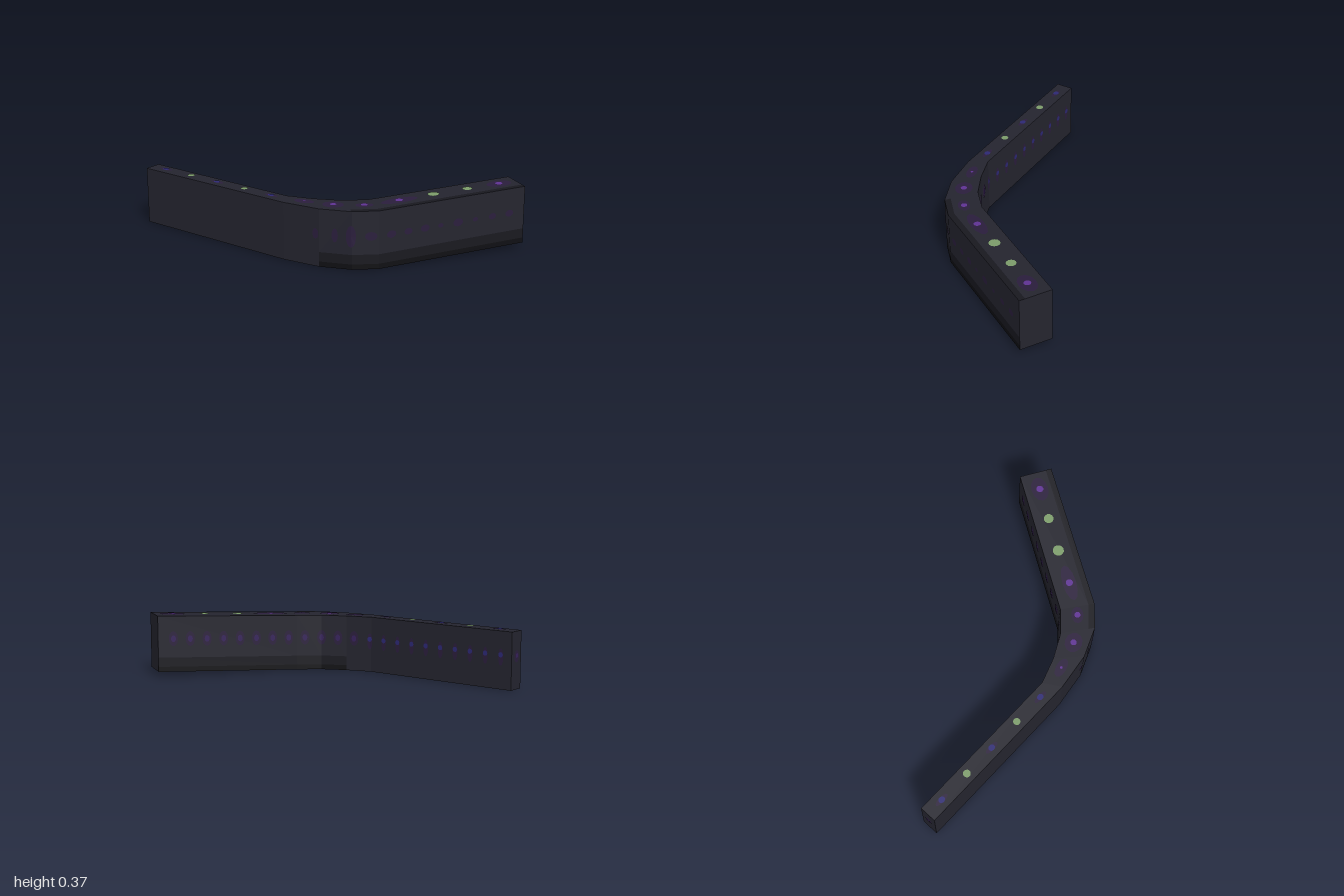
import * as THREE from 'three';

// Plan outline [x, z], from the back end to the front end
const OUTER = [[-0.53, -1], [-0.53, 0.04], [-0.5, 0.26], [-0.43, 0.43], [-0.33, 0.54], [0.42, 1]];
const INNER = [[-0.43, -1], [-0.43, -0.02], [-0.38, 0.13], [-0.31, 0.27], [-0.21, 0.38], [0.52, 0.835]];
const HEIGHT = 0.333;
const RISE = 0.034;

// The front arm climbs gently along its length
const rise = (x, z) => RISE * THREE.MathUtils.clamp(((x + 0.27) * 0.854 + (z - 0.46) * 0.52) / 0.866, 0, 1);

function paint(name, color, decal) {
  const m = new THREE.MeshStandardMaterial({ color });
  m.name = name;
  if (decal) m.side = THREE.DoubleSide;
  return m;
}

// Point and outward normal on a wall at distance s from the back end
function along(path, s, side) {
  for (let i = 0; i < path.length - 1; i++) {
    const [x0, z0] = path[i], [x1, z1] = path[i + 1];
    const len = Math.hypot(x1 - x0, z1 - z0);
    if (s <= len || i === path.length - 2) {
      const dx = (x1 - x0) / len, dz = (z1 - z0) / len;
      return { x: x0 + dx * s, z: z0 + dz * s, nx: dz * side, nz: -dx * side };
    }
    s -= len;
  }
}

// Thin oval patch: place(cos, sin) maps a unit disc onto a surface
function oval(name, material, place, sides = 12) {
  const pos = [];
  for (let i = 0; i < sides; i++) {
    const a = (i / sides) * Math.PI * 2, b = ((i + 1) / sides) * Math.PI * 2;
    pos.push(...place(0, 0), ...place(Math.cos(a), Math.sin(a)), ...place(Math.cos(b), Math.sin(b)));
  }
  const g = new THREE.BufferGeometry();
  g.setAttribute('position', new THREE.Float32BufferAttribute(pos, 3));
  g.computeVertexNormals();
  const mesh = new THREE.Mesh(g, material);
  mesh.name = name;
  return mesh;
}

export function createModel() {
  const model = new THREE.Group();
  model.name = 'bentWall';
  const mat = {
    body: paint('charcoal', 0x24242e),
    shade: paint('dark charcoal', 0x18181f),
    base: paint('near black', 0x0e0e12),
    halo: paint('dim violet', 0x2a1d3c, true),
    blue: paint('deep blue', 0x2c2874, true),
    plum: paint('plum', 0x35205a, true),
    purple: paint('bright purple', 0x5f3294, true),
    green: paint('sage green', 0x7c9c6a, true),
  };

  // Body panels, gathered by colour
  const panels = { body: [], shade: [], base: [] };
  const quad = (key, a, b, c, d) => panels[key].push(...a, ...b, ...c, ...a, ...c, ...d);
  const pt = (k, u, y) => {
    const x = THREE.MathUtils.lerp(OUTER[k][0], INNER[k][0], u);
    const z = THREE.MathUtils.lerp(OUTER[k][1], INNER[k][1], u);
    return [x, y + (k === 5 ? RISE : 0), z];
  };
  const last = OUTER.length - 1;
  for (let k = 0; k < last; k++) {
    const bands = k < 2 ? [['body', 0, HEIGHT]]
      : [['base', 0, 0.03], ['shade', 0.03, 0.085], ['body', 0.085, HEIGHT]];
    for (const [key, y0, y1] of bands) {
      quad(key, pt(k, 0, y0), pt(k + 1, 0, y0), pt(k + 1, 0, y1), pt(k, 0, y1));
      quad(key, pt(k, 1, y0), pt(k, 1, y1), pt(k + 1, 1, y1), pt(k + 1, 1, y0));
    }
    const strips = k < 3 ? [['body', 0, 1]] : [['shade', 0, 0.18], ['body', 0.18, 1]];
    for (const [key, u0, u1] of strips) {
      quad(key, pt(k, u0, HEIGHT), pt(k + 1, u0, HEIGHT), pt(k + 1, u1, HEIGHT), pt(k, u1, HEIGHT));
    }
    quad('body', pt(k, 0, 0), pt(k, 1, 0), pt(k + 1, 1, 0), pt(k + 1, 0, 0));
  }
  quad('body', pt(0, 0, 0), pt(0, 0, HEIGHT), pt(0, 1, HEIGHT), pt(0, 1, 0));
  quad('body', pt(last, 0, 0), pt(last, 1, 0), pt(last, 1, HEIGHT), pt(last, 0, HEIGHT));
  const names = { body: 'wallBody', shade: 'shadedBand', base: 'baseBand' };
  for (const key in panels) {
    const g = new THREE.BufferGeometry();
    g.setAttribute('position', new THREE.Float32BufferAttribute(panels[key], 3));
    g.computeVertexNormals();
    const mesh = new THREE.Mesh(g, mat[key]);
    mesh.name = names[key];
    model.add(mesh);
  }

  // Spot on a side wall
  const wallSpot = (name, material, path, side, s, y, rs, ry, lift) =>
    model.add(oval(name, material, (c, n) => {
      const p = along(path, s + rs * c, side);
      return [p.x + p.nx * lift, y + ry * n + rise(p.x, p.z), p.z + p.nz * lift];
    }));

  // Row of lamps along the inner wall
  for (let i = 0; i < 22; i++) {
    const s = 0.07 + i * 0.102;
    const back = i < 10;
    wallSpot('innerHalo', mat.halo, INNER, 1, s, back ? 0.185 : 0.198, back ? 0.017 : 0.028, back ? 0.05 : 0.045, 0.002);
    wallSpot('innerLamp', back ? mat.blue : mat.plum, INNER, 1, s, 0.198, 0.015, back ? 0.015 : 0.02, 0.004);
  }

  // Faint spots along the outer wall: distance, half length, half height
  const outerSpots = [[1.24, 0.018, 0.03], [1.35, 0.018, 0.04], [1.44, 0.028, 0.063], [1.55, 0.034, 0.025]];
  const legX = [[-0.27, 0.024], [-0.185, 0.021], [-0.1, 0.023], [-0.02, 0.014], [0.07, 0.026], [0.16, 0.014], [0.25, 0.02], [0.34, 0.022]];
  for (const [x, r] of legX) outerSpots.push([1.595 + (x + 0.33) * 1.173, r * 1.15, r * 0.9]);
  for (const [s, rs, ry] of outerSpots) wallSpot('outerSpot', mat.halo, OUTER, -1, s, 0.19, rs, ry, 0.002);

  // Lamps on the top: x, z, half length, half width, heading, material
  const topSpot = (name, material, x, z, rl, rw, heading, lift) =>
    model.add(oval(name, material, (c, n) => {
      const px = x + rl * c * Math.sin(heading) + rw * n * Math.cos(heading);
      const pz = z + rl * c * Math.cos(heading) - rw * n * Math.sin(heading);
      return [px, HEIGHT + rise(px, pz) + lift, pz];
    }));
  for (const z of [-0.89, -0.49, -0.09]) {
    topSpot('topHalo', mat.halo, -0.48, z, 0.045, 0.016, 0, 0.002);
    topSpot('topLamp', mat.blue, -0.48, z, 0.02, 0.017, 0, 0.004);
  }
  for (const [x, z, r] of [[-0.48, -0.69, 0.022], [-0.48, -0.285, 0.021], [0.04, 0.64, 0.033], [0.215, 0.75, 0.029]]) {
    topSpot('greenLamp', mat.green, x, z, r, r, 0, 0.004);
  }
  const bendLamps = [[-0.45, 0.12, 0.06, 0.03, 0.25, 0.008], [-0.4, 0.28, 0.06, 0.05, 0.4, 0.018],
    [-0.305, 0.42, 0.05, 0.035, 0.8, 0.018], [-0.14, 0.535, 0.11, 0.04, 1.02, 0.021], [0.38, 0.855, 0.075, 0.05, 1.02, 0.021]];
  for (const [x, z, rl, rw, heading, core] of bendLamps) {
    topSpot('topHalo', mat.halo, x, z, rl, rw, heading, 0.002);
    topSpot('topLamp', mat.purple, x, z, core, core, heading, 0.004);
  }

  // Faint lamp on the back end
  model.add(oval('backHalo', mat.halo, (c, n) => [-0.48 + 0.025 * c, 0.19 + 0.035 * n, -1.002]));
  model.add(oval('backLamp', mat.plum, (c, n) => [-0.48 + 0.012 * c, 0.195 + 0.014 * n, -1.004]));

  return model;
}
